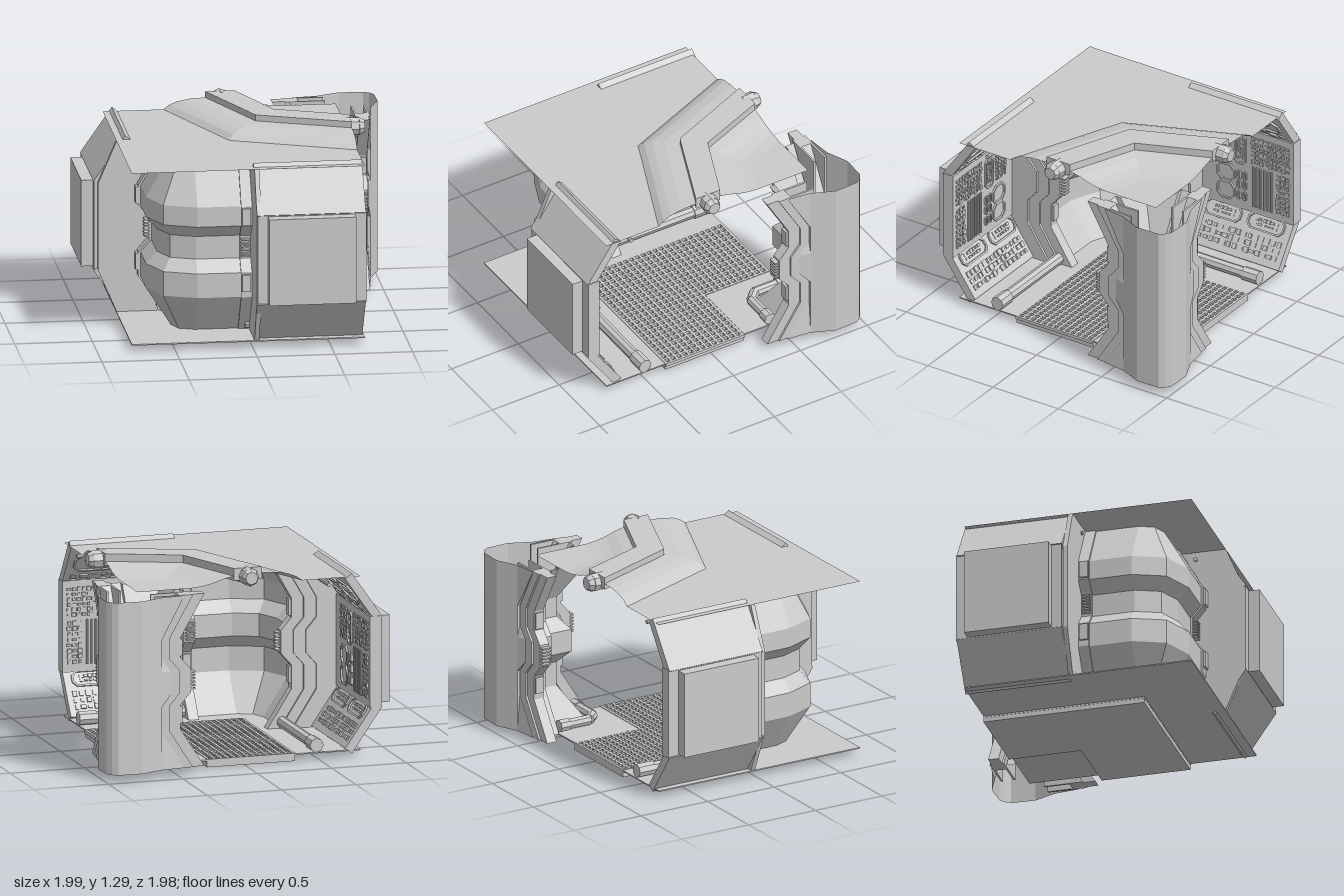
import * as THREE from 'three';

const mat = new THREE.MeshStandardMaterial({ color: 0xcccccc, flatShading: true, side: THREE.DoubleSide });

// Wall section: [height, distance from the corridor centre line]
const PROFILE = [[0.05, 0.39], [0.3, 0.55], [0.46, 0.55], [0.54, 0.48], [0.69, 0.48], [0.77, 0.55], [0.9, 0.55], [1.18, 0.39]];

function add(parent, geo, name, x = 0, y = 0, z = 0) {
  const m = new THREE.Mesh(geo, mat);
  m.name = name;
  m.position.set(x, y, z);
  parent.add(m);
  return m;
}

function box(parent, name, x0, x1, y0, y1, z0, z1) {
  add(parent, new THREE.BoxGeometry(x1 - x0, y1 - y0, z1 - z0), name, (x0 + x1) / 2, (y0 + y1) / 2, (z0 + z1) / 2);
}

function extrude(pts, depth) {
  const shape = new THREE.Shape(pts.map(p => new THREE.Vector2(p[0], p[1])));
  return new THREE.ExtrudeGeometry(shape, { depth, bevelEnabled: false });
}

// Outline in (z, y), extruded from x0 to x1
function sidePlate(parent, name, pts, x0, x1) {
  add(parent, extrude(pts, x1 - x0).rotateY(-Math.PI / 2).translate(x1, 0, 0), name);
}

// Outline in (x, z), extruded from y0 to y1
function flatPlate(parent, name, pts, y0, y1) {
  add(parent, extrude(pts, y1 - y0).rotateX(Math.PI / 2).translate(0, y1, 0), name);
}

// Sheet through rows of [x, y, z] points
function sheet(parent, name, rows) {
  const n = rows[0].length, index = [];
  for (let i = 0; i < rows.length - 1; i++)
    for (let j = 0; j < n - 1; j++) {
      const a = i * n + j, b = a + n;
      index.push(a, a + 1, b, a + 1, b + 1, b);
    }
  const g = new THREE.BufferGeometry();
  g.setAttribute('position', new THREE.Float32BufferAttribute(rows.flat(2), 3));
  g.setIndex(index);
  g.computeVertexNormals();
  add(parent, g, name);
}

// Eight-sided pipe between two points
function pipe(parent, name, a, b, r0, r1 = r0) {
  const A = new THREE.Vector3(...a), B = new THREE.Vector3(...b), d = B.clone().sub(A);
  const m = add(parent, new THREE.CylinderGeometry(r1, r0, d.length(), 8), name);
  m.position.copy(A).add(B).multiplyScalar(0.5);
  m.quaternion.setFromUnitVectors(new THREE.Vector3(0, 1, 0), d.normalize());
}

// Chamfered outline centred on 0
function chamfered(w, h, c, Type = THREE.Shape) {
  const x = w / 2, y = h / 2;
  return new Type([[c - x, -y], [x - c, -y], [x, c - y], [x, y - c], [x - c, y], [c - x, y], [-x, y - c], [-x, c - y]]
    .map(p => new THREE.Vector2(...p)));
}

// Raised ring on an inner panel face (the face looks along -z)
function ring(parent, x, y, w, h, t = 0.012) {
  const s = chamfered(w, h, Math.min(w, h) * 0.28);
  s.holes.push(chamfered(w - 2 * t, h - 2 * t, Math.min(w, h) * 0.22, THREE.Path));
  add(parent, new THREE.ExtrudeGeometry(s, { depth: 0.012, bevelEnabled: false }), 'raisedFrame', x, y, -0.012);
}

// Field of small blocks of varied size
function blocks(parent, x0, x1, y0, y1, nx, ny, seed) {
  const rnd = () => (seed = (seed * 16807) % 2147483647) / 2147483647;
  const dx = (x1 - x0) / nx, dy = (y1 - y0) / ny;
  for (let i = 0; i < nx; i++)
    for (let j = 0; j < ny; j++) {
      const w = dx * (0.45 + 0.4 * rnd()), h = dy * (0.35 + 0.5 * rnd()), d = 0.005 + 0.009 * rnd();
      add(parent, new THREE.BoxGeometry(w, h, d), 'controlBlock', x0 + (i + 0.5) * dx, y0 + (j + 0.5) * dy, -d / 2);
    }
}

function wallPanels(parent, shiftX, shiftZ) {
  const wall = new THREE.Group();
  wall.name = 'outerWall';
  wall.position.set(shiftX, 0, shiftZ);
  parent.add(wall);
  const slope = [[0.915, 0.91], [0.71, 1.205], [0.665, 1.17], [0.87, 0.875]];
  sidePlate(wall, 'upperPanel', slope, 0.01, 0.71);
  sidePlate(wall, 'lowerPanel', slope.map(([z, y]) => [z, 1.23 - y]), 0.01, 0.71);
  box(wall, 'middlePanel', 0.015, 0.715, 0.315, 0.915, 0.83, 0.91);
  box(wall, 'outerBox', 0.08, 0.64, 0.33, 0.9, 0.9, 0.985);

  // Equipment on the inner faces
  const face = (name, y, z, tilt) => {
    const g = new THREE.Group();
    g.name = name;
    g.position.set(0, y, z);
    g.rotation.x = tilt;
    wall.add(g);
    return g;
  };
  const mid = face('middleEquipment', 0.615, 0.83, 0);
  blocks(mid, 0.11, 0.24, 0.04, 0.26, 4, 8, 11);
  ring(mid, 0.31, 0.14, 0.09, 0.22);
  blocks(mid, 0.285, 0.335, 0.06, 0.22, 2, 5, 23);
  ring(mid, 0.2, -0.06, 0.14, 0.13);
  ring(mid, 0.2, -0.19, 0.14, 0.13);
  for (const x of [0.3, 0.345]) for (const y of [-0.05, -0.12, -0.2]) ring(mid, x, y, 0.028, 0.06, 0.007);
  blocks(mid, 0.39, 0.69, 0.06, 0.26, 9, 6, 37);
  for (let i = 0; i < 6; i++) pipe(mid, 'conduit', [0.41 + i * 0.028, -0.25, -0.008], [0.41 + i * 0.028, 0.04, -0.008], 0.008);
  blocks(mid, 0.58, 0.69, -0.25, 0.04, 3, 8, 41);

  const top = face('upperEquipment', 1.0225, 0.7675, -0.607);
  for (const x of [0.2, 0.52]) {
    ring(top, x, 0.03, 0.29, 0.15);
    ring(top, x, 0.05, 0.14, 0.035, 0.008);
  }
  blocks(top, 0.05, 0.68, -0.15, -0.07, 9, 2, 53);

  const low = face('lowerEquipment', 0.2075, 0.7675, 0.607);
  for (const x of [0.19, 0.52]) {
    ring(low, x, 0.08, 0.28, 0.11);
    blocks(low, x - 0.09, x + 0.09, 0.05, 0.11, 6, 2, 61);
  }
  blocks(low, 0.06, 0.68, -0.14, 0, 14, 3, 71);
}

// Pads and cooling fins along a rib
function ribDetails(parent, x0, x1, zAt, out) {
  const pad = (y0, y1, d, t) => {
    const a = zAt(d), b = a + out * t;
    box(parent, 'ribPad', x0, x1, y0, y1, Math.min(a, b), Math.max(a, b));
  };
  pad(0.78, 0.89, 0.55, 0.015);
  pad(0.34, 0.45, 0.55, 0.015);
  for (let i = 0; i < 6; i++) pad(0.555 + i * 0.022, 0.565 + i * 0.022, 0.48, 0.03);
}

// One half of the bend; the other half is its mirror image
function createHalf(shiftX, shiftZ) {
  const half = new THREE.Group();
  half.name = 'corridorHalf';
  wallPanels(half, shiftX, shiftZ);

  // Stepped rib at the end of the outer wall
  const outerEdge = [[0.78, 1.18], [0.9, 0.9], [0.9, 0.33], [0.78, 0.05]];
  const outerRib = (off, x0, x1, rear) => sidePlate(half, 'outerRib', [...PROFILE.map(([y, d]) => [d + off, y]), ...rear], x0, x1);
  outerRib(0, -0.06, 0.01, PROFILE.map(([y, d]) => [d + 0.1, y]).reverse());
  outerRib(0.08, 0.01, 0.025, outerEdge);
  outerRib(0.16, 0.025, 0.04, outerEdge);
  ribDetails(half, -0.055, 0, d => d, -1);
  ribDetails(half, -0.055, 0, d => d + 0.1, 1);

  // Outer corner wall, up to the diagonal
  sheet(half, 'outerCornerWall', PROFILE.map(([y, d]) => {
    const r = (d + 0.085 - 0.34) * Math.SQRT1_2;
    return [[0, y, d + 0.085], [-0.34, y, d + 0.085], [-0.34 - r, y, 0.34 + r]];
  }));

  // Inner corner wall, mitred on the diagonal, with a raised step beside the rib
  sheet(half, 'innerCornerWall', PROFILE.map(([y, d]) =>
    [[d + 0.08, y, -d - 0.08], [0.735, y, -d - 0.08], [0.735, y, -d - 0.04], [0.8, y, -d - 0.04]]));
  sheet(half, 'innerEndWall', PROFILE.map(([y, d]) => [[0.91, y, -d - 0.07], [0.93, y, -0.62]]));

  // Stepped rib on the inner wall, held between two thin cheeks
  sidePlate(half, 'innerRib', [...PROFILE.map(([y, d]) => [0.07 - d, y]),
    ...PROFILE.map(([y, d]) => [-0.1 - d, y]).reverse()], 0.82, 0.89);
  for (const x of [0.807, 0.89])
    sidePlate(half, 'innerRibCheek', [...PROFILE.map(([y, d]) => [-d - 0.01, y]), [-0.66, 1.18], [-0.66, 0.05]], x, x + 0.013);
  ribDetails(half, 0.825, 0.885, d => 0.07 - d, 1);

  // Pillar behind the inner corner, up to the diagonal
  const plan = [[0.93, -0.62], [0.995, -0.77], [0.99, -0.93], [0.965, -0.965]];
  sheet(half, 'pillarBack', [0.05, 1.18].map(y => plan.map(([x, z]) => [x, y, z])));

  // Pipes on the floor, under the ceiling and out of the roof duct
  pipe(half, 'floorPipe', [-0.02, 0.09, 0.49], [0.68, 0.09, 0.49], 0.038);
  pipe(half, 'floorPipeCollar', [0.6, 0.09, 0.49], [0.72, 0.09, 0.49], 0.046);
  pipe(half, 'cornerPipe', [0.5, 0.1, -0.44], [0.68, 0.1, -0.44], 0.034);
  pipe(half, 'cornerPipeBend', [0.47, 0.1, -0.47], [0.5, 0.1, -0.44], 0.034);
  pipe(half, 'cornerPipeCollar', [0.66, 0.1, -0.44], [0.73, 0.1, -0.44], 0.042);
  pipe(half, 'ceilingCable', [0, 1.13, 0.58], [0.7, 1.13, 0.58], 0.014);
  pipe(half, 'ductPipe', [0.19, 1.235, -0.19], [0.7, 1.235, 0.01], 0.05);
  pipe(half, 'ductPipeCollar', [0.69, 1.235, 0.02], [0.775, 1.235, 0.025], 0.06);
  pipe(half, 'ductPipeEnd', [0.775, 1.235, 0.025], [0.81, 1.235, 0.025], 0.06, 0.042);

  // Grating bars in one direction
  for (let i = 0; i <= 24; i++) {
    const z = -0.722 + i * 0.044;
    box(half, 'gratingBar', -0.34, z < -0.25 ? 0.25 : 0.72, 0.03, 0.052, z - 0.008, z + 0.008);
  }
  return half;
}

export function createModel() {
  const model = new THREE.Group();
  model.name = 'corridorCorner';

  const other = createHalf(0.03, 0.01);
  other.name = 'mirroredHalf';
  other.scale.x = -1;
  other.rotation.y = -Math.PI / 2;
  model.add(createHalf(0, 0), other);

  // Floor plates around the sunken tray
  flatPlate(model, 'outerFloor', [[-0.78, -0.73], [-0.34, -0.73], [-0.34, 0.34], [0.72, 0.34], [0.72, 0.78], [-0.78, 0.78]], 0.04, 0.048);
  flatPlate(model, 'innerFloor', [[0.25, -0.73], [0.72, -0.73], [0.72, -0.25], [0.25, -0.25]], 0.04, 0.05);
  flatPlate(model, 'floorTray', [[-0.34, -0.73], [0.25, -0.73], [0.25, -0.25], [0.72, -0.25], [0.72, 0.34], [-0.34, 0.34]], 0, 0.03);

  // Ceiling sheet: each row follows the bend at [offset, rise]
  const rises = [[-0.09, 0], [-0.05, 0.03], [0, 0.05], [0.08, 0.065], [0.18, 0.07], [0.37, 0.06], [0.44, 0.045], [0.51, 0.022], [0.58, 0.007], [0.655, 0]];
  sheet(model, 'ceiling', [
    [[-0.78, 1.18, -0.73], [-0.78, 1.18, 0.78], [0.72, 1.18, 0.78]],
    ...rises.map(([s, h]) => {
      const end = s - 0.3, bend = s / 1.41;
      return [[end, 1.18 + h, -0.73], [bend, 1.18 + h, -bend], [0.72, 1.18 + h, -end]];
    }),
    [[0.72, 1.18, -0.73], [0.72, 1.18, -0.73], [0.72, 1.18, -0.73]],
  ]);

  // Bent duct on the roof
  flatPlate(model, 'roofDuct', [[-0.12, -0.73], [0.13, -0.13], [0.72, 0.11], [0.72, -0.07], [0.26, -0.26], [0.07, -0.73]], 1.21, 1.29);
  return model;
}
